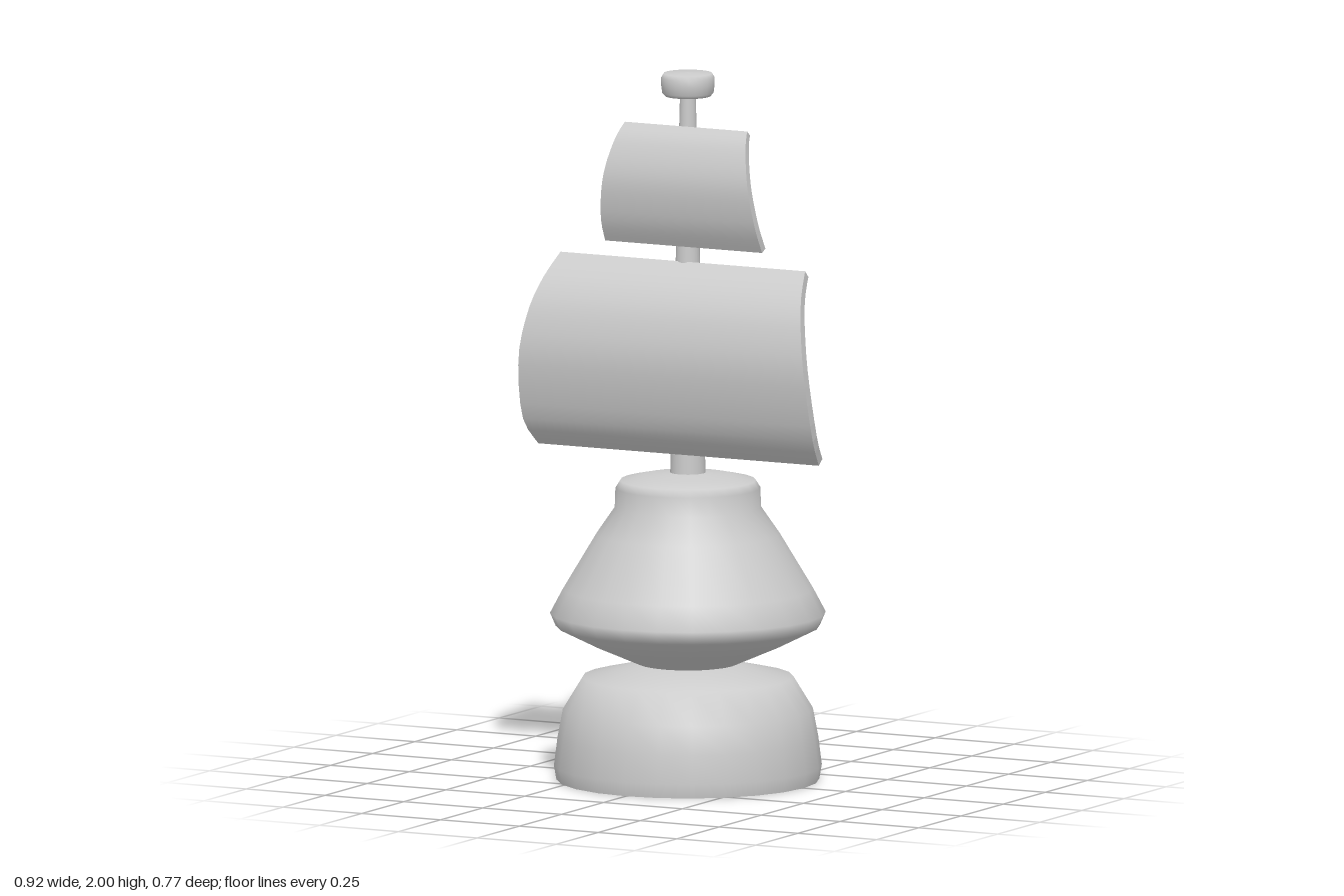
import * as THREE from 'three';

const material = new THREE.MeshStandardMaterial({ color: 0xcccccc, side: THREE.DoubleSide });
const vectors = (pts) => pts.map(([x, y]) => new THREE.Vector2(x, y));

// Turned part; profile listed from bottom to top as [radius, y]
function turned(name, profile, segments = 24) {
  const mesh = new THREE.Mesh(new THREE.LatheGeometry(vectors(profile), segments), material);
  mesh.name = name;
  return mesh;
}

// Billowing sail: a thin curved section swept across x, its width varying with height
// rows: [y, z of front face, half width], bottom to top
function sail(name, rows, thickness, centreX) {
  const curve = (axis) => new THREE.SplineCurve(vectors(rows.map((r, i) => [i, r[axis]])));
  const section = new THREE.SplineCurve(vectors(rows.map((r) => [r[1], r[0]])));
  const width = curve(2);
  const steps = 16;
  const positions = [];
  const indices = [];
  const quad = (a, b, c, d) => indices.push(a, b, c, a, c, d);

  // front and back sheets
  for (const back of [0, 1]) {
    for (let i = 0; i <= steps; i++) {
      const t = i / steps;
      const p = section.getPoint(t);
      const tan = section.getTangent(t);
      const half = width.getPoint(t).y;
      const z = p.x - tan.y * thickness * back;
      const y = p.y + tan.x * thickness * back;
      positions.push(centreX - half, y, z, centreX + half, y, z);
    }
  }
  const offset = (steps + 1) * 2;
  for (let i = 0; i < steps; i++) {
    const a = i * 2;
    quad(a, a + 1, a + 3, a + 2);
    quad(offset + a + 1, offset + a, offset + a + 2, offset + a + 3);
  }

  // rim: separate vertices so that the edges stay crisp
  const copy = (i) => {
    positions.push(...positions.slice(i * 3, i * 3 + 3));
    return positions.length / 3 - 1;
  };
  const rim = (a, b) => quad(copy(a), copy(a + offset), copy(b + offset), copy(b));
  for (let i = 0; i < steps; i++) {
    rim(i * 2, i * 2 + 2);
    rim(i * 2 + 3, i * 2 + 1);
  }
  rim(1, 0);
  rim(steps * 2, steps * 2 + 1);

  const geometry = new THREE.BufferGeometry();
  geometry.setAttribute('position', new THREE.Float32BufferAttribute(positions, 3));
  geometry.setIndex(indices);
  geometry.computeVertexNormals();
  const mesh = new THREE.Mesh(geometry, material);
  mesh.name = name;
  return mesh;
}

export function createModel() {
  const model = new THREE.Group();
  model.name = 'shipPiece';

  // Base drum and its flat underside
  model.add(turned('base', [
    [0.368, 0], [0.375, 0.04], [0.365, 0.12], [0.35, 0.2],
    [0.295, 0.29], [0.14, 0.325], [0, 0.335],
  ]));
  const underside = new THREE.Mesh(new THREE.CircleGeometry(0.368, 24), material);
  underside.rotation.x = Math.PI / 2;
  underside.name = 'underside';
  model.add(underside);

  // Flared body with a collar
  model.add(turned('body', [
    [0.1, 0.32], [0.14, 0.328], [0.26, 0.38], [0.37, 0.435], [0.386, 0.472], [0.35, 0.54],
    [0.257, 0.695], [0.205, 0.77], [0.203, 0.825], [0.19, 0.846], [0.125, 0.86], [0, 0.873],
  ]));

  // Tapered mast and the lookout on top
  const mast = new THREE.Mesh(new THREE.CylinderGeometry(0.022, 0.05, 1.09, 24), material);
  mast.position.y = 0.85 + 1.09 / 2;
  mast.name = 'mast';
  model.add(mast);
  model.add(turned('lookout', [
    [0, 1.932], [0.064, 1.933], [0.072, 1.942], [0.075, 1.965],
    [0.075, 1.985], [0.068, 1.997], [0, 2],
  ]));

  // Sails
  model.add(sail('mainSail', [
    [0.925, 0.055, 0.445], [1.01, 0.122, 0.46], [1.18, 0.158, 0.453],
    [1.31, 0.14, 0.433], [1.4, 0.095, 0.41], [1.468, 0.03, 0.388],
  ], 0.027, 0));
  model.add(sail('topSail', [
    [1.512, 0.042, 0.249], [1.58, 0.075, 0.245], [1.67, 0.092, 0.234],
    [1.74, 0.086, 0.222], [1.81, 0.06, 0.206], [1.85, 0.028, 0.194],
  ], 0.022, 0.009));

  return model;
}
